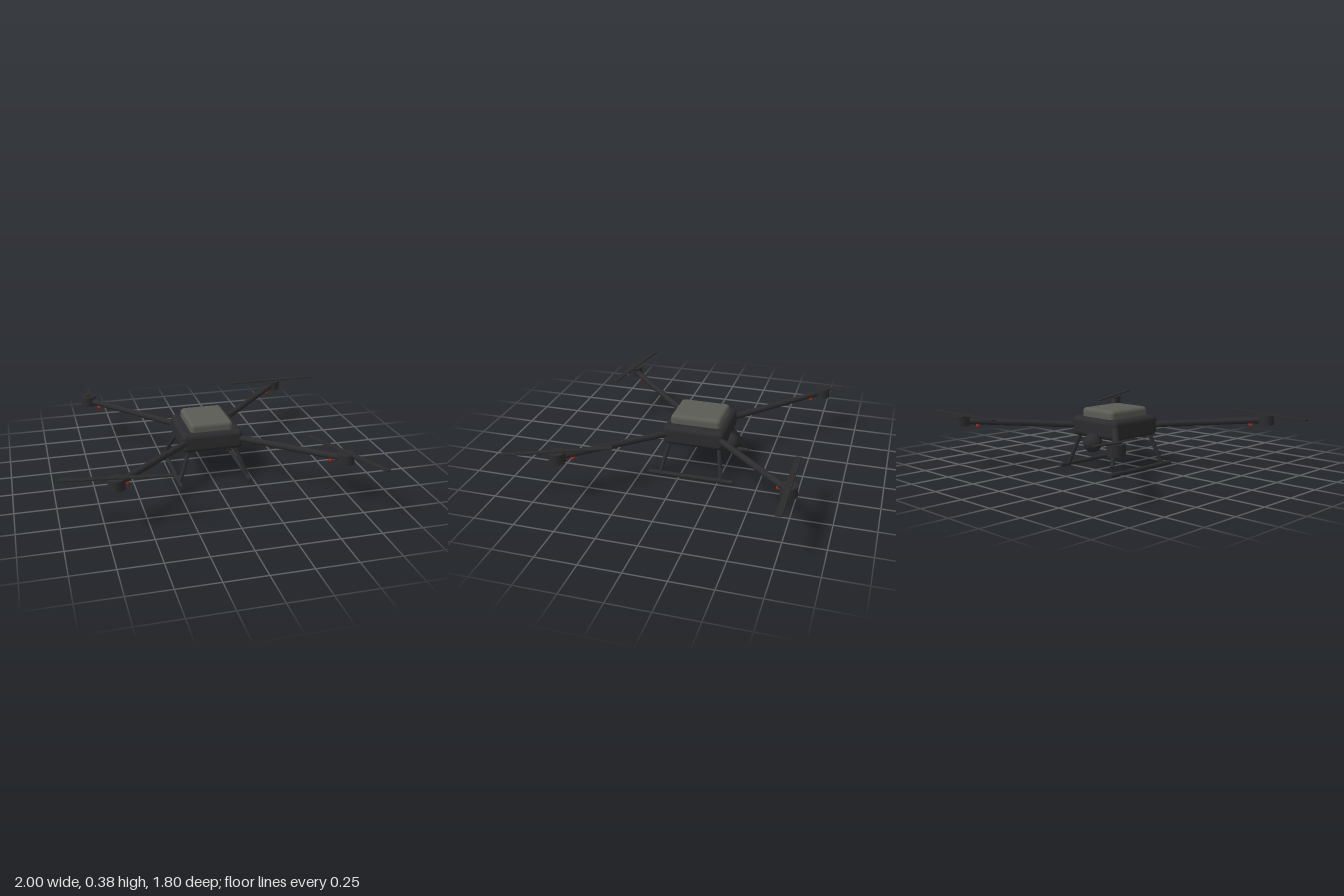
import * as THREE from 'three';
import { RoundedBoxGeometry } from 'three/addons/geometries/RoundedBoxGeometry.js';

const makeMaterial = (name, color) => {
  const m = new THREE.MeshStandardMaterial({ color });
  m.name = name;
  return m;
};

export function createModel() {
  const model = new THREE.Group();
  model.name = 'quadcopter';
  const shell = makeMaterial('charcoal shell', 0x2c2c2e);
  const blade = makeMaterial('blade black', 0x2a2a2a);
  const pack = makeMaterial('battery grey', 0x5b5c55);
  const red = makeMaterial('lamp red', 0xa02a1c);
  const midZ = -0.08; // hull centre along z

  const add = (name, geometry, material, x, y, z) => {
    const mesh = new THREE.Mesh(geometry, material);
    mesh.name = name;
    mesh.position.set(x, y, z);
    model.add(mesh);
    return mesh;
  };

  // Round bar between two points
  const rod = (name, a, b, radius) => {
    const from = new THREE.Vector3(...a), to = new THREE.Vector3(...b);
    const dir = to.clone().sub(from);
    const mid = from.clone().add(to).multiplyScalar(0.5);
    const mesh = add(name, new THREE.CylinderGeometry(radius, radius, dir.length(), 12), shell, mid.x, mid.y, mid.z);
    mesh.quaternion.setFromUnitVectors(new THREE.Vector3(0, 1, 0), dir.normalize());
  };

  // Hull, battery and rear camera ball
  add('hull', new RoundedBoxGeometry(0.39, 0.124, 0.39, 3, 0.03), shell, 0, 0.266, midZ);
  add('battery', new RoundedBoxGeometry(0.272, 0.08, 0.32, 3, 0.025), pack, 0, 0.343, midZ);
  add('cameraBall', new THREE.SphereGeometry(0.06, 24, 16), shell, 0, 0.178, -0.275);

  // Arms with motors and lamps
  for (const sx of [-1, 1]) {
    for (const sz of [-1, 1]) {
      const x = sx * 0.68, z = midZ + sz * 0.68;
      rod('arm', [sx * 0.14, 0.268, midZ + sz * 0.14], [x, 0.295, z], 0.02);
      add('motor', new THREE.CylinderGeometry(0.05, 0.05, 0.063, 24), shell, x, 0.297, z);
      add('lamp', new THREE.SphereGeometry(0.014, 12, 8), red, sx * 0.612, 0.265, midZ + sz * 0.612);
    }
  }

  // Propellers: hub position, turn, and extent along the blade; one is snapped short
  const propellers = [
    [0.68, -0.76, 0, -0.32, 0.32],
    [-0.68, 0.6, -0.141, -0.32, 0.32],
    [0.68, 0.6, -1.156, -0.32, 0.32],
    [-0.68, -0.76, 1.41, -0.02, 0.143],
  ];
  for (const [x, z, turn, start, end] of propellers) {
    const geometry = new THREE.BoxGeometry(end - start, 0.007, 0.035);
    geometry.translate((start + end) / 2, 0, 0);
    add('propeller', geometry, blade, x, 0.332, z).rotation.y = turn;
  }

  // Landing gear; the rear leg on the -x side is bent back
  for (const sx of [-1, 1]) {
    rod('skid', [sx * 0.222, 0.015, 0.195], [sx * 0.222, 0.015, -0.348], 0.014);
    rod('frontLeg', [sx * 0.145, 0.225, 0.075], [sx * 0.222, 0.018, 0.122], 0.013);
    const foot = sx < 0 ? [-0.215, 0.06, -0.32] : [0.222, 0.018, -0.272];
    rod('rearLeg', [sx * 0.145, 0.225, -0.235], foot, 0.013);
  }
  return model;
}
